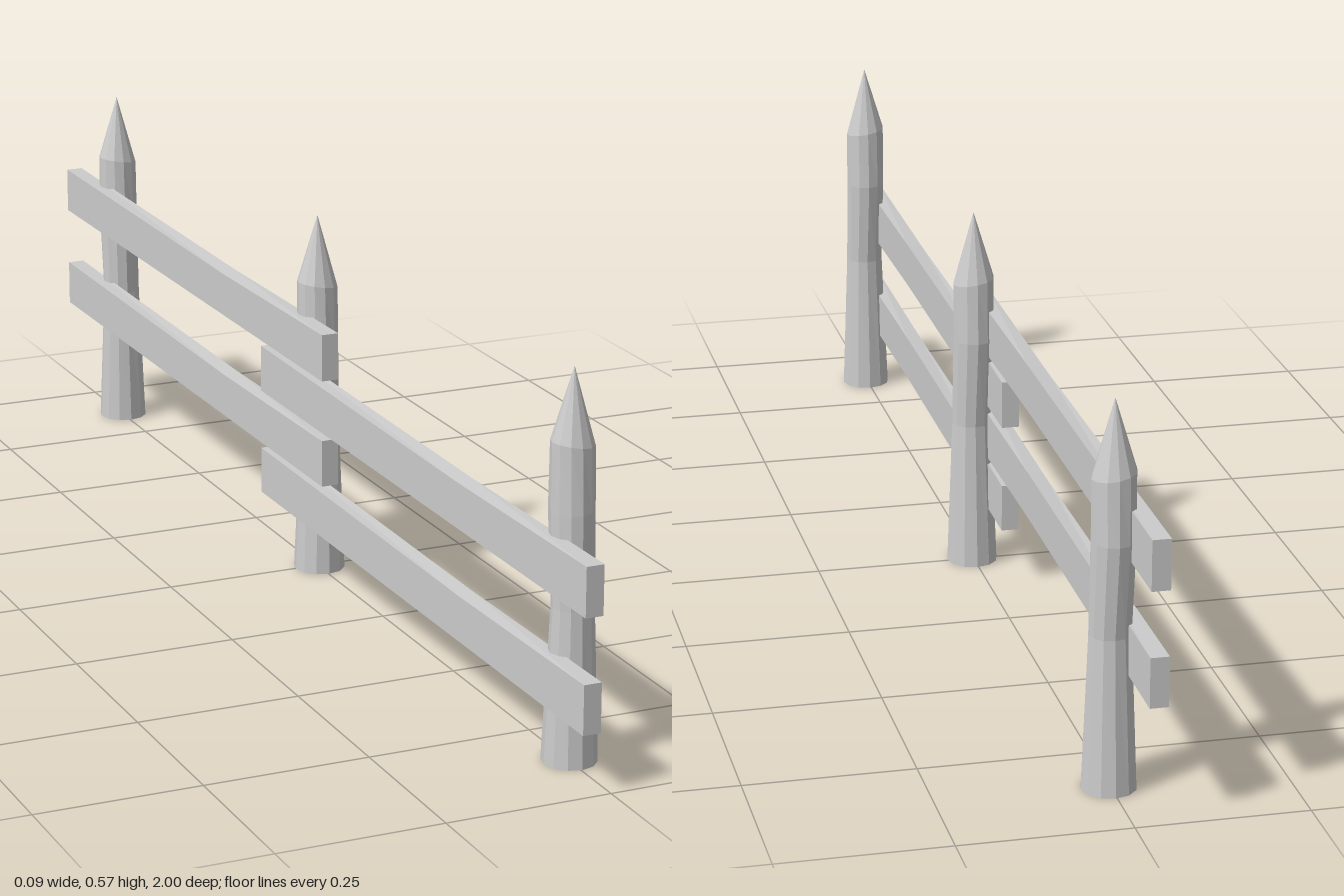
import * as THREE from 'three';

const material = new THREE.MeshStandardMaterial({ color: 0xcccccc, flatShading: true });

// Post rings from the ground up: height, x radius, z radius, x shift, z shift
const RINGS = [
  [0, 0, 0, 0.002, 0.003],
  [0, 0.04, 0.041, 0.002, 0.003],
  [0.23, 0.031, 0.029, 0.002, 0.005],
  [0.37, 0.032, 0.035, 0, 0],
  [0.465, 0.032, 0.03, 0, 0],
  [0.575, 0, 0, 0, 0],
];

// Hand-hewn stake: a lathe whose rings are squashed and shifted
function postGeometry() {
  const geo = new THREE.LatheGeometry(RINGS.map((r, i) => new THREE.Vector2(r[1] ? 1 : 0, i)), 12);
  const p = geo.attributes.position;
  for (let i = 0; i < p.count; i++) {
    const [y, rx, rz, dx, dz] = RINGS[Math.round(p.getY(i))];
    const x = p.getX(i);
    // the shoulder below the tip is cut slightly askew
    const tilt = y === 0.465 ? -0.005 * x : 0;
    p.setXYZ(i, x * rx + dx, y + tilt, p.getZ(i) * rz + dz);
  }
  geo.computeVertexNormals();
  return geo;
}

// Plank with one slightly worn section along its length
function railGeometry() {
  const geo = new THREE.BoxGeometry(0.027, 0.074, 1.12, 1, 1, 2);
  const p = geo.attributes.position;
  for (let i = 0; i < p.count; i++) {
    if (Math.abs(p.getZ(i)) > 0.01) continue;
    p.setZ(i, 0.16);
    if (p.getX(i) > 0) p.setX(i, p.getX(i) - 0.003);
    if (p.getY(i) > 0) p.setY(i, p.getY(i) - (p.getX(i) > 0 ? 0.002 : 0.005));
  }
  geo.computeVertexNormals();
  return geo;
}

export function createModel() {
  const fence = new THREE.Group();
  fence.name = 'fence';
  const add = (name, geo, x, y, z) => {
    const mesh = new THREE.Mesh(geo, material);
    mesh.name = name;
    mesh.position.set(x, y, z);
    fence.add(mesh);
  };

  // Three pointed posts
  const post = postGeometry();
  [['frontPost', 0.867], ['middlePost', 0], ['backPost', -0.867]]
    .forEach(([name, z]) => add(name, post, 0, 0, z));

  // Two rails per bay, the back bay stepped up so the ends interleave
  const rail = railGeometry();
  [['front', 0.44, 0.129], ['back', -0.44, 0.212]].forEach(([bay, z, y]) => {
    add(bay + 'LowerRail', rail, -0.0315, y, z);
    add(bay + 'UpperRail', rail, -0.0315, y + 0.17, z);
  });
  return fence;
}
